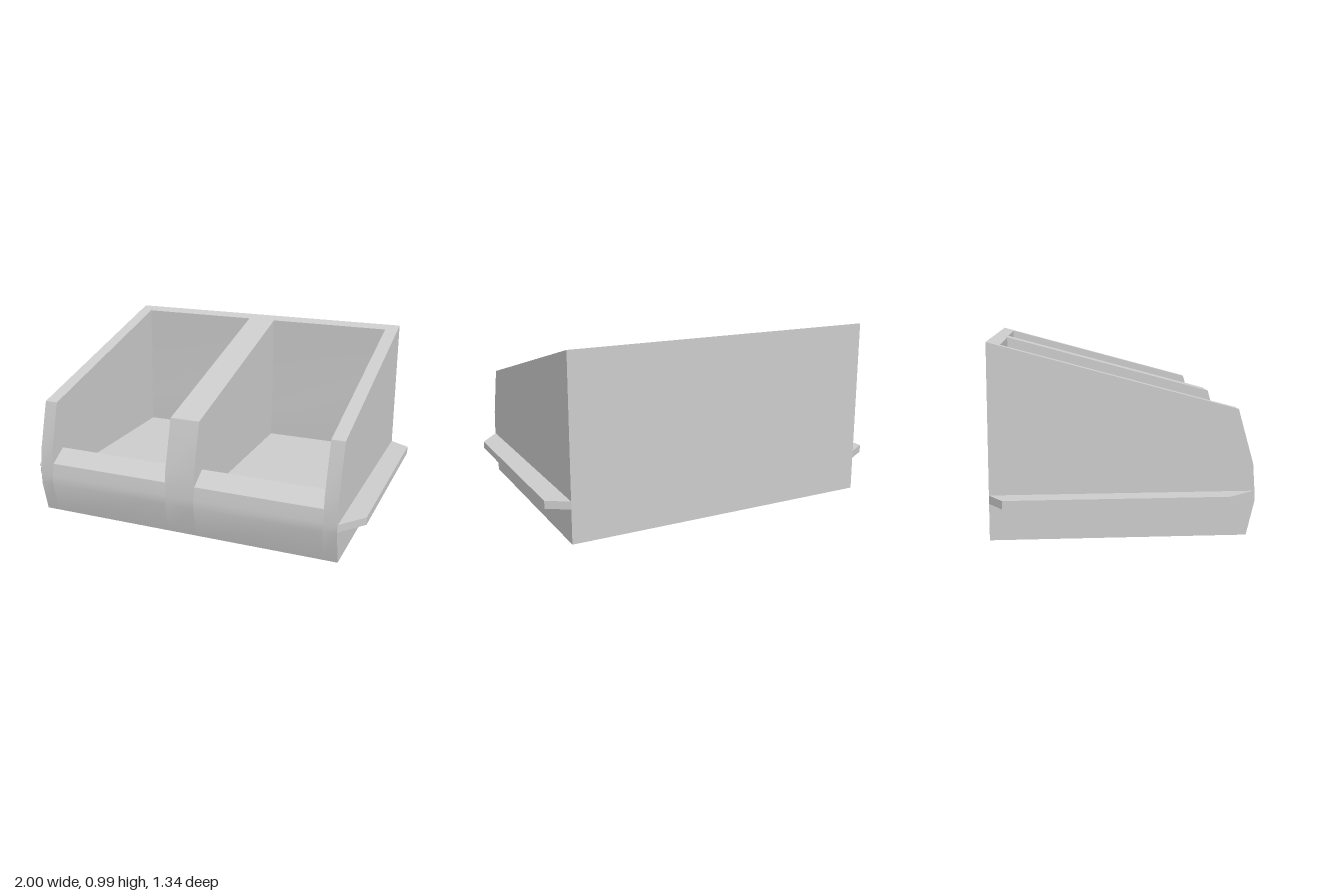
import * as THREE from 'three';
import { toCreasedNormals } from 'three/addons/utils/BufferGeometryUtils.js';

const material = new THREE.MeshStandardMaterial({ color: 0xcccccc });

function extrude(points, depth) {
  const shape = new THREE.Shape(points.map(([a, b]) => new THREE.Vector2(a, b)));
  return new THREE.ExtrudeGeometry(shape, { depth, bevelEnabled: false });
}

function addMesh(group, name, geometry) {
  const mesh = new THREE.Mesh(toCreasedNormals(geometry, 0.5), material);
  mesh.name = name;
  group.add(mesh);
}

// Sweep a side profile of [z, y] points across x from x0 to x1
function addSlab(group, name, profile, x0, x1) {
  const geometry = extrude(profile, x1 - x0);
  geometry.rotateY(-Math.PI / 2);
  geometry.translate(x1, 0, 0);
  addMesh(group, name, geometry);
}

export function createModel() {
  const group = new THREE.Group();
  group.name = 'doubleBin';

  const wallInner = 0.81, wallOuter = 0.885, dividerHalf = 0.085;

  // Full-height profile shared by the side walls and divider
  const wall = [
    [-0.67, 0], [0.63, 0], [0.672, 0.18], [0.67, 0.23],
    [0.66, 0.37], [0.58, 0.65], [-0.67, 0.99],
  ];

  // Compartment profile: front lip, sunken floor and back wall
  const bay = [
    [-0.67, 0], [0.63, 0], [0.672, 0.18], [0.668, 0.23], [0.655, 0.3],
    [0.55, 0.365], [0.55, 0.2], [-0.59, 0.2], [-0.59, 0.37],
    [-0.605, 0.66], [-0.605, 0.972], [-0.67, 0.99],
  ];

  addSlab(group, 'divider', wall, -dividerHalf, dividerHalf);

  for (const s of [-1, 1]) {
    const side = s > 0 ? 'left' : 'right';
    const span = (a, b) => (s > 0 ? [a, b] : [-b, -a]);
    addSlab(group, side + 'SideWall', wall, ...span(wallInner, wallOuter));
    addSlab(group, side + 'Compartment', bay, ...span(dividerHalf, wallInner));

    // Horizontal side rail with chamfered ends
    const rail = extrude([
      [s * 0.87, -0.67], [s * 0.885, -0.67], [s, -0.6],
      [s, 0.52], [s * 0.885, 0.665], [s * 0.87, 0.665],
    ], 0.042);
    rail.rotateX(Math.PI / 2);
    rail.translate(0, 0.23, 0);
    addMesh(group, side + 'Rail', rail);
  }

  return group;
}
